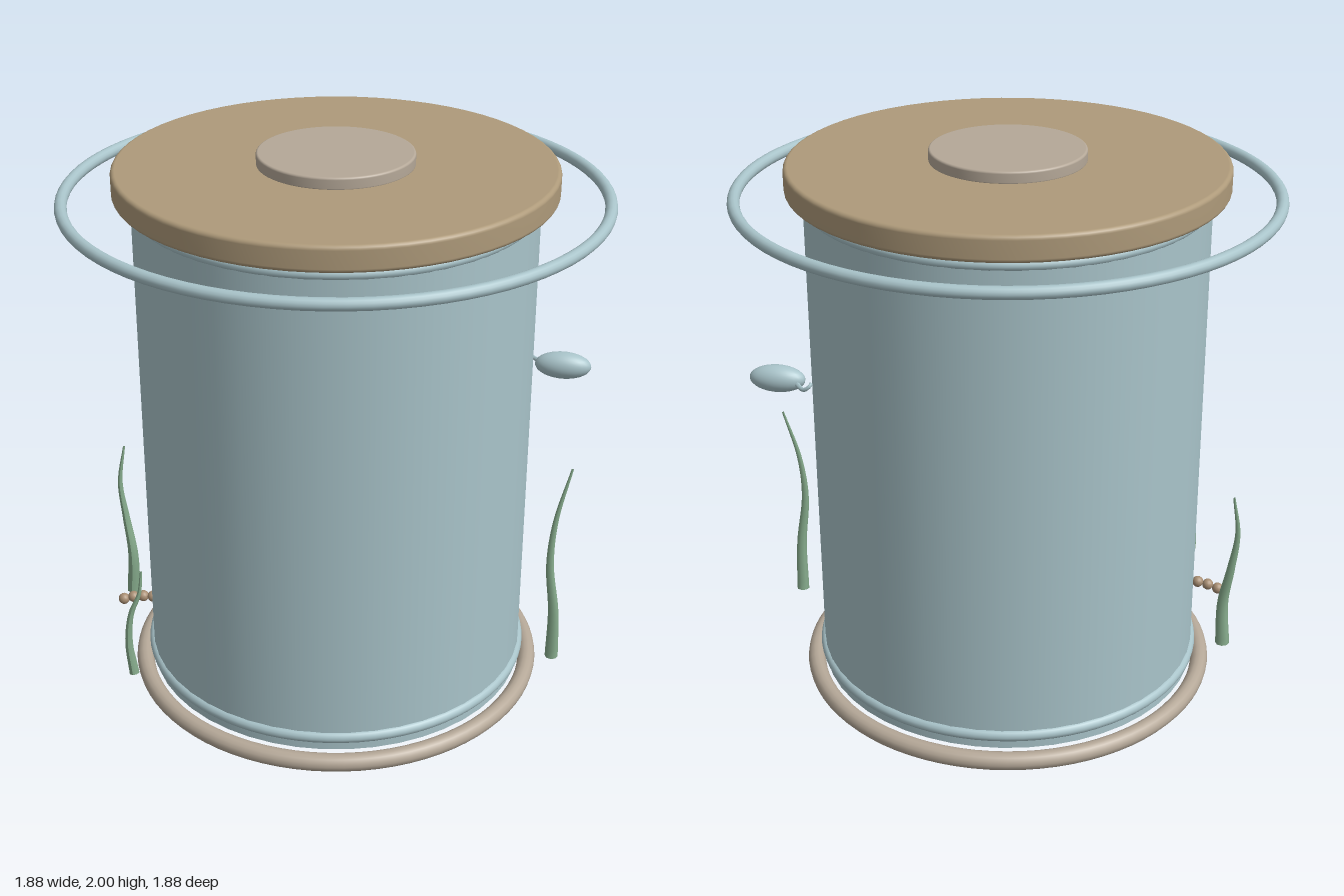
import * as THREE from 'three';

const mat = (name, color, side = THREE.FrontSide) => {
  const m = new THREE.MeshStandardMaterial({ color, side });
  m.name = name;
  return m;
};

// Tube along a smooth curve that narrows from r0 to r1
function taperedTube(points, r0, r1) {
  const curve = new THREE.CatmullRomCurve3(points.map((p) => new THREE.Vector3(...p)));
  const rows = 24, sides = 8;
  const geo = new THREE.TubeGeometry(curve, rows, 1, sides);
  const pos = geo.attributes.position, v = new THREE.Vector3();
  for (let i = 0; i <= rows; i++) {
    const centre = curve.getPointAt(i / rows);
    const r = THREE.MathUtils.lerp(r0, r1, i / rows);
    for (let j = 0; j <= sides; j++) {
      const k = i * (sides + 1) + j;
      v.fromBufferAttribute(pos, k).sub(centre).multiplyScalar(r).add(centre);
      pos.setXYZ(k, v.x, v.y, v.z);
    }
  }
  geo.computeVertexNormals();
  return geo;
}

// Solid disc with rounded rims
function roundedDisc(radius, y0, y1, bevel) {
  const pts = [new THREE.Vector2(0, y0)];
  for (let i = 0; i <= 5; i++) {
    const a = -Math.PI / 2 + (i / 5) * (Math.PI / 2);
    pts.push(new THREE.Vector2(radius - bevel + bevel * Math.cos(a), y0 + bevel + bevel * Math.sin(a)));
  }
  for (let i = 0; i <= 5; i++) {
    const a = (i / 5) * (Math.PI / 2);
    pts.push(new THREE.Vector2(radius - bevel + bevel * Math.cos(a), y1 - bevel + bevel * Math.sin(a)));
  }
  pts.push(new THREE.Vector2(0, y1));
  return new THREE.LatheGeometry(pts, 64);
}

export function createModel() {
  const root = new THREE.Group();
  root.name = 'jar';
  const glass = mat('pale blue glass', 0xa9c4ca);
  const wall = mat('blue glass wall', 0xa9c4ca, THREE.DoubleSide);
  const wood = mat('tan lid', 0xae9a7a);
  const stone = mat('warm grey', 0xb5a898);
  const green = mat('weed green', 0x86ab8c, THREE.DoubleSide);
  const shell = mat('brown bead', 0xa98f74);

  const add = (name, geo, material, x = 0, y = 0, z = 0) => {
    const m = new THREE.Mesh(geo, material);
    m.name = name;
    m.position.set(x, y, z);
    root.add(m);
    return m;
  };
  const ring = (name, radius, tube, y, material) => {
    add(name, new THREE.TorusGeometry(radius, tube, 14, 80), material, 0, y).rotation.x = Math.PI / 2;
  };

  // Jar body, open at the bottom
  add('jarWall', new THREE.CylinderGeometry(0.69, 0.69, 1.77, 48, 1, true), wall, 0, 0.945);
  ring('baseRing', 0.725, 0.032, 0.032, stone);
  ring('lowerBand', 0.683, 0.022, 0.11, glass);
  ring('upperBand', 0.675, 0.02, 1.84, glass);
  ring('outerHoop', 0.918, 0.021, 1.847, glass);

  // Lid and its knob
  add('lid', roundedDisc(0.75, 1.87, 1.96, 0.015), wood);
  add('lidKnob', roundedDisc(0.267, 1.955, 2, 0.008), stone);

  // Weeds around the jar
  add('leftWeed', taperedTube([[0.825, 0.15, 0.092], [0.822, 0.35, 0.1], [0.8, 0.55, 0.105],
    [0.81, 0.72, 0.092], [0.855, 0.92, 0.065]], 0.024, 0.004), green);
  add('rightWeed', taperedTube([[-0.81, 0.15, -0.035], [-0.803, 0.32, -0.03], [-0.825, 0.47, -0.04],
    [-0.842, 0.62, -0.045], [-0.822, 0.77, -0.055]], 0.026, 0.004), green);
  add('frontWeed', taperedTube([[-0.645, 0.15, 0.495], [-0.658, 0.28, 0.495], [-0.645, 0.4, 0.49],
    [-0.615, 0.48, 0.48], [-0.605, 0.57, 0.473]], 0.019, 0.004), green);

  // Fish with a hooked tail
  add('fishBody', new THREE.SphereGeometry(1, 24, 16).scale(0.1, 0.049, 0.047), glass, 0.782, 1.188, -0.207);
  add('fishTail', taperedTube([[0.71, 1.183, -0.225], [0.69, 1.178, -0.25], [0.67, 1.18, -0.27],
    [0.65, 1.195, -0.272], [0.645, 1.203, -0.262]], 0.009, 0.006), glass);

  // Row of beads running into the wall
  for (let i = 0; i < 4; i++) {
    add('bead' + (i + 1), new THREE.SphereGeometry(0.021, 14, 10), shell,
      -0.776 + i * 0.038, [0.25, 0.264, 0.272, 0.275][i], 0.182);
  }
  return root;
}
